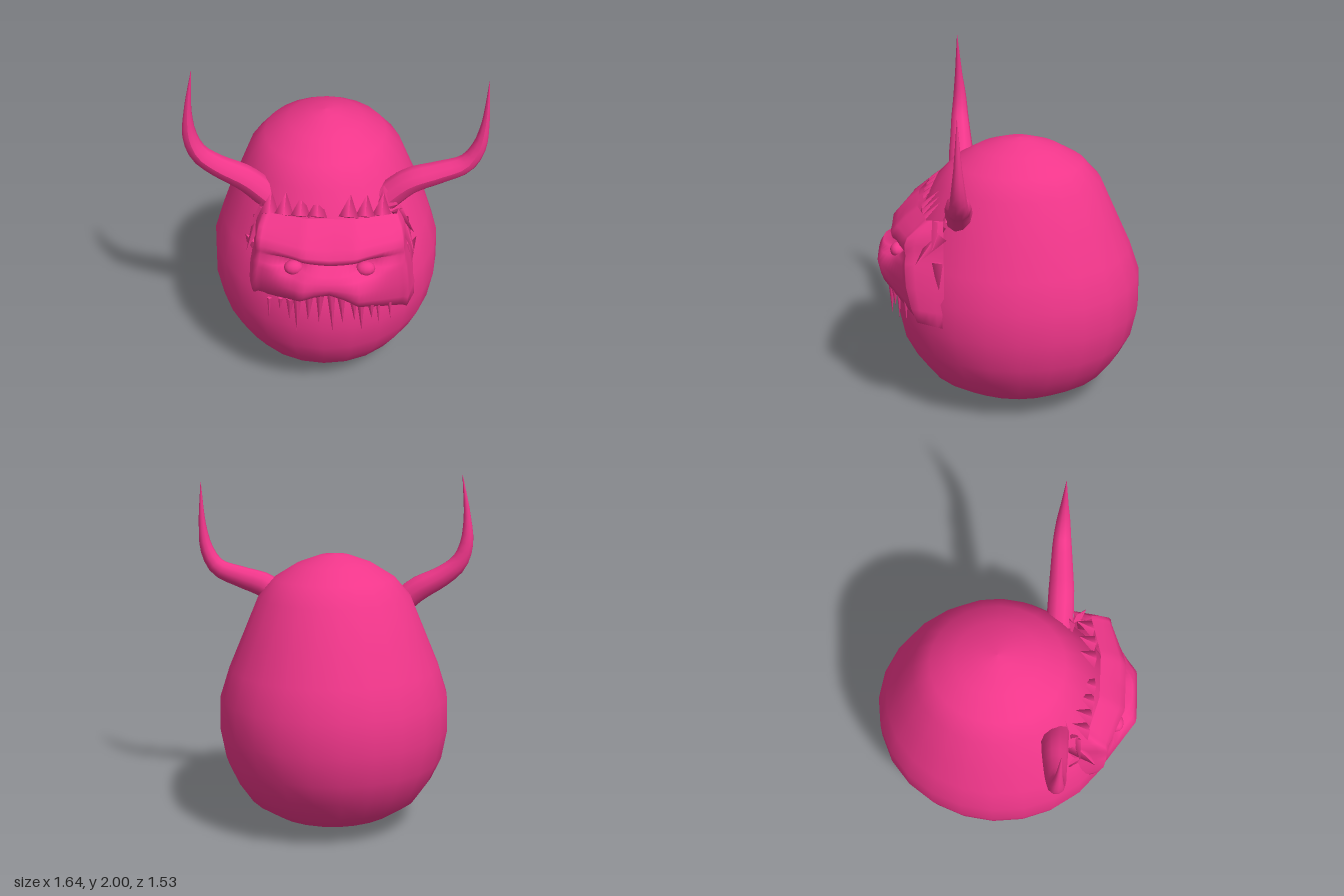
import * as THREE from 'three';

const material = new THREE.MeshStandardMaterial({ color: 0xf0368a, side: THREE.DoubleSide });
const V = (x, y, z) => new THREE.Vector3(x, y, z);
const lerp = THREE.MathUtils.lerp;
const MID = -0.03; // the face sits slightly off centre

function add(parent, name, geometry) {
  const mesh = new THREE.Mesh(geometry, material);
  mesh.name = name;
  parent.add(mesh);
  return mesh;
}

// piecewise linear lookup in a list of [key, value] pairs with rising keys
function lookup(list, k) {
  let i = 1;
  while (i < list.length - 1 && list[i][0] < k) i++;
  const [a, b] = [list[i - 1], list[i]];
  return lerp(a[1], b[1], THREE.MathUtils.clamp((k - a[0]) / (b[0] - a[0]), 0, 1));
}

// a pointed spike from base to tip
function spike(parent, name, base, tip, radius, sides = 5, flat = 1) {
  const dir = tip.clone().sub(base);
  const geometry = new THREE.ConeGeometry(radius, dir.length(), sides);
  geometry.translate(0, dir.length() / 2, 0).scale(1, 1, flat);
  const mesh = add(parent, name, geometry);
  mesh.quaternion.setFromUnitVectors(V(0, 1, 0), dir.normalize());
  mesh.position.copy(base);
}

// egg-shaped body, a little deeper than wide
function body(parent) {
  const profile = [[0, 0.004], [0.24, 0.027], [0.39, 0.08], [0.533, 0.164], [0.618, 0.276],
    [0.682, 0.4], [0.718, 0.57], [0.713, 0.76], [0.655, 0.93], [0.578, 1.1], [0.475, 1.33],
    [0.375, 1.437], [0.235, 1.517], [0.09, 1.565], [0, 1.574]];
  const geometry = new THREE.LatheGeometry(profile.map(p => new THREE.Vector2(...p)), 24);
  geometry.scale(0.915, 1, 1).translate(-0.07, 0, -0.045);
  add(parent, 'body', geometry);
}

// face mask: a grid bent around the front of the body
function face(parent) {
  // rows from the lip to the forehead: height, middle depth, corner depth, half width
  const rows = [[0.82, 0.64, 0.5, 0.42], [0.8, 0.735, 0.53, 0.43], [0.84, 0.75, 0.56, 0.435],
    [0.9, 0.765, 0.585, 0.43], [0.95, 0.75, 0.59, 0.42], [0.985, 0.735, 0.59, 0.41],
    [1.01, 0.635, 0.585, 0.405], [1.035, 0.685, 0.59, 0.4], [1.07, 0.685, 0.59, 0.4],
    [1.11, 0.65, 0.575, 0.395], [1.17, 0.6, 0.53, 0.385], [1.225, 0.53, 0.47, 0.36]];
  const lip = [[0, 0.865], [0.2, 0.84], [0.4, 0.795], [0.7, 0.735], [1, 0.68]];
  const cols = 40, n = rows.length;
  const geometry = new THREE.PlaneGeometry(2, 2, cols, n - 1);
  const pos = geometry.attributes.position;
  for (let i = 0; i < pos.count; i++) {
    const u = pos.getX(i), side = Math.sign(u);
    const r = n - 1 - Math.floor(i / (cols + 1));
    const [h, middle, corner, half] = rows[r];
    const f = Math.min(1, Math.abs(u) / 0.8);
    const back = Math.max(0, (Math.abs(u) - 0.8) / 0.2);
    // the muzzle is flat in the middle and falls off to the cheeks
    let z = lerp(middle, corner, THREE.MathUtils.clamp((f - 0.36) / 0.6, 0, 1));
    let x = side * half * f;
    // lower rows follow the arched lip, which hangs lower on one cheek
    const low = THREE.MathUtils.clamp((0.95 - h) / 0.15, 0, 1);
    let y = low > 0 ? lerp(0.95, lookup(lip, f), low) - 0.1 * x * low : h;
    // sockets and slanting brows
    const dx = Math.abs(x) - 0.195;
    z -= 0.085 * Math.exp(-(dx * dx) / 0.006 - ((h - 0.99) ** 2) / 0.0012);
    if (h > 1.0 && h < 1.12) y += 0.03 * (f - 0.3);
    // ragged side walls run back to the body
    if (back > 0) {
      const ragged = back === 1 ? 0.05 * (r % 2) : 0;
      z = lerp(z, 0.375 + ragged, back);
      x += side * (0.02 + 0.03 * low) * back;
      y -= 0.02 * back * low;
    }
    pos.setXYZ(i, x + MID, y, z);
  }
  geometry.computeVertexNormals();
  add(parent, 'faceMask', geometry);

  for (const s of [-1, 1]) {
    const eye = add(parent, 'eye', new THREE.SphereGeometry(0.046, 12, 8));
    eye.scale.set(1.15, 0.9, 0.9);
    eye.position.set(MID + s * 0.195, 0.985, 0.645);
  }
}

// uneven fangs: x and tip height
function fangs(parent) {
  const tips = [[-0.365, 0.6], [-0.3, 0.68], [-0.245, 0.65], [-0.205, 0.57], [-0.14, 0.65],
    [-0.08, 0.64], [-0.02, 0.57], [0.035, 0.64], [0.1, 0.66], [0.14, 0.58], [0.195, 0.65],
    [0.235, 0.59], [0.3, 0.6]];
  for (const [x, tip] of tips) {
    const d = Math.abs(x - MID);
    const z = lookup([[0.1, 0.7], [0.2, 0.68], [0.34, 0.59]], d);
    const top = lookup([[0, 0.86], [0.18, 0.81], [0.34, 0.73]], d);
    spike(parent, 'fang', V(x, top, z), V(x + (x > MID ? 0.008 : -0.008), tip, z), d > 0.25 ? 0.014 : 0.024);
  }
}

// torn shreds round the edge of the mask
function shreds(parent) {
  for (const x of [-0.36, -0.28, -0.19, -0.1, 0.07, 0.16, 0.25]) {
    const z = 0.5 - 0.25 * (x - MID) ** 2;
    spike(parent, 'browShred', V(x, 1.215, z), V(x + 0.01, 1.305, z - 0.09), 0.055, 4, 0.25);
  }
  for (const s of [-1, 1]) {
    const at = (x, y, z) => V(MID + s * x, y, z);
    spike(parent, 'cheekShred', at(0.39, 1.15, 0.4), at(0.46, 1.0, 0.53), 0.06, 4, 0.3);
    spike(parent, 'cheekShred', at(0.36, 1.2, 0.4), at(0.46, 1.08, 0.44), 0.06, 4, 0.3);
    spike(parent, 'cheekShred', at(0.42, 1.0, 0.42), at(0.45, 0.8, 0.41), 0.07, 4, 0.3);
    spike(parent, 'hornShred', at(0.31, 1.2, 0.36), at(0.29, 1.32, 0.34), 0.06, 4, 0.3);
    spike(parent, 'hornShred', at(0.32, 1.18, 0.26), at(0.36, 1.3, 0.17), 0.06, 4, 0.3);
  }
}

// curved horn: a tube narrowed along its length
function horn(parent, name, points) {
  const curve = new THREE.CatmullRomCurve3(points.map(p => V(...p)));
  const steps = 20, sides = 10;
  const geometry = new THREE.TubeGeometry(curve, steps, 1, sides);
  const pos = geometry.attributes.position, p = new THREE.Vector3();
  const taper = [[0, 0.078], [0.2, 0.073], [0.45, 0.055], [0.6, 0.04], [0.75, 0.022], [1, 0.001]];
  for (let i = 0; i < pos.count; i++) {
    const t = Math.floor(i / (sides + 1)) / steps;
    const c = curve.getPointAt(t);
    p.fromBufferAttribute(pos, i).sub(c).multiplyScalar(lookup(taper, t)).add(c);
    pos.setXYZ(i, p.x, p.y, p.z);
  }
  geometry.computeVertexNormals();
  add(parent, name, geometry);
}

export function createModel() {
  const model = new THREE.Group();
  model.name = 'hornedEgg';
  body(model);
  face(model);
  fangs(model);
  shreds(model);
  horn(model, 'rightHorn', [[-0.37, 1.21, 0.29], [-0.5, 1.325, 0.29], [-0.65, 1.41, 0.295],
    [-0.745, 1.49, 0.3], [-0.788, 1.6, 0.3], [-0.79, 1.75, 0.305], [-0.757, 2.0, 0.31]]);
  horn(model, 'leftHorn', [[0.27, 1.21, 0.29], [0.4, 1.32, 0.29], [0.56, 1.375, 0.285],
    [0.7, 1.43, 0.28], [0.765, 1.53, 0.28], [0.793, 1.68, 0.28], [0.8, 1.94, 0.28]]);
  return model;
}
